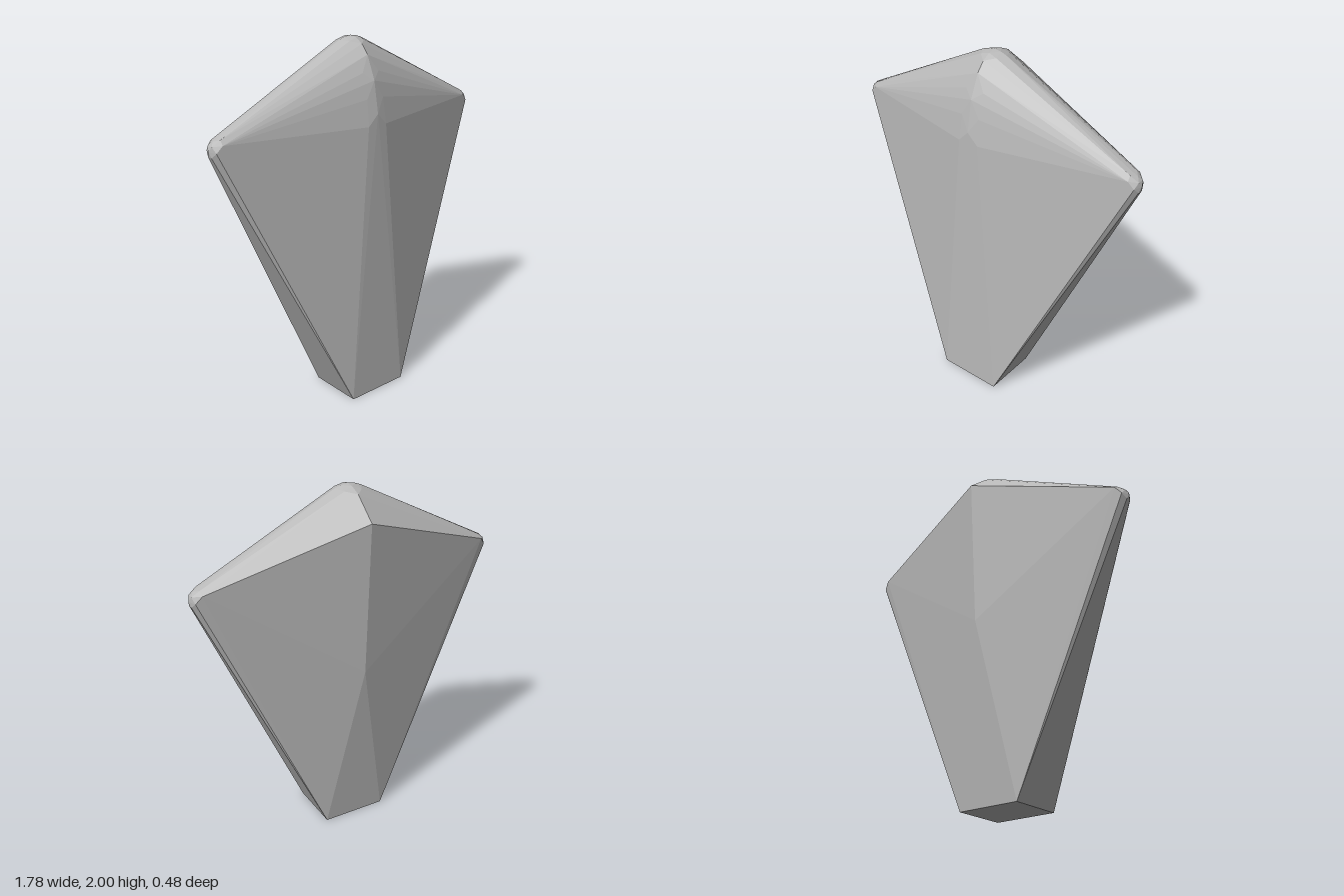
import * as THREE from 'three';
import { ConvexGeometry } from 'three/addons/geometries/ConvexGeometry.js';

// Right-hand half of the faceted shell; x > 0 points are mirrored
const half = [
  // square foot
  [0.185, 0, 0.24], [0.185, 0, -0.075],
  // back ridge
  [0, 1.0, -0.19], [0, 1.85, -0.24],
  // rounded front brow
  [0.06, 1.56, 0.215], [0, 1.62, 0.217], [0.055, 1.7, 0.195],
  [0, 1.79, 0.187], [0.055, 1.83, 0.158], [0, 1.915, 0.133],
  [0.06, 1.92, 0.095],
  // crown
  [0, 1.965, 0.09], [0, 1.992, 0.045], [0, 2, 0], [0, 1.992, -0.045],
  [0, 1.965, -0.105], [0.04, 1.994, 0], [0.075, 1.982, 0],
  [0.05, 1.978, 0.05], [0.05, 1.975, -0.055],
  // blunt side tips
  [0.84, 1.595, 0.03], [0.84, 1.595, -0.03], [0.865, 1.585, 0],
  [0.84, 1.57, 0.048], [0.84, 1.575, -0.06], [0.882, 1.565, 0.018],
  [0.882, 1.565, -0.018], [0.873, 1.535, 0.042], [0.873, 1.535, -0.045],
  [0.892, 1.54, 0], [0.885, 1.51, 0.015], [0.885, 1.51, -0.015],
];

export function createModel() {
  const group = new THREE.Group();
  group.name = 'facetedBlade';
  const grey = new THREE.MeshStandardMaterial({ color: 0xb8b8b8 });
  grey.name = 'stone grey';

  const points = [];
  for (const [x, y, z] of half) {
    points.push(new THREE.Vector3(x, y, z));
    if (x > 0) points.push(new THREE.Vector3(-x, y, z));
  }
  const body = new THREE.Mesh(new ConvexGeometry(points), grey);
  body.name = 'body';
  group.add(body);
  return group;
}
